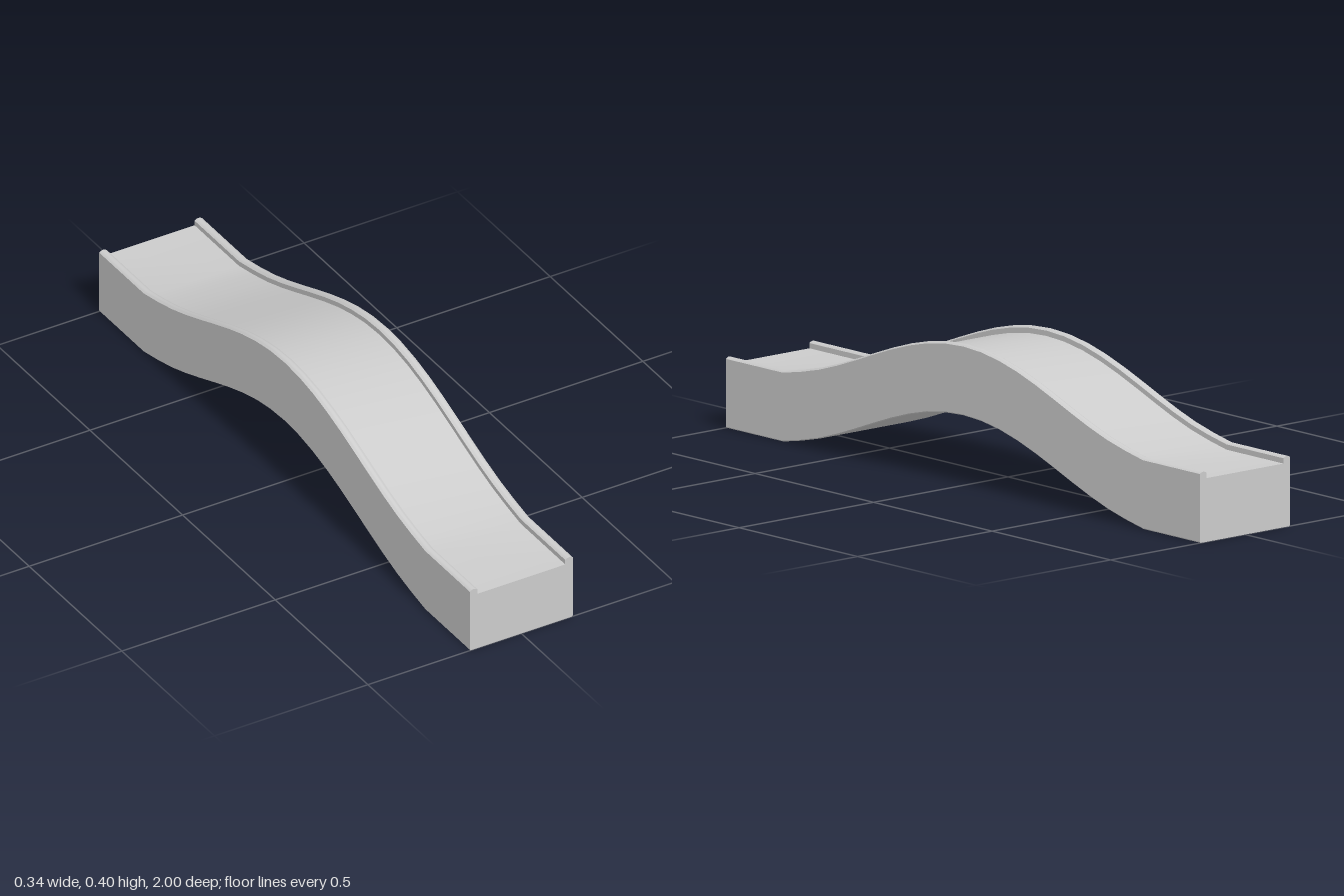
import * as THREE from 'three';
import { toCreasedNormals } from 'three/addons/utils/BufferGeometryUtils.js';

const HALF_WIDTH = 0.168, KERB_INNER = 0.143, FLOOR = 0.182;
const KERB_EDGE = 0.197, KERB_TOP = 0.202, BEVEL = 0.003;
const RISE = 0.2, RAMP_END = 0.76, ARCH_STEPS = 20;

// Height of the hump along the length, flat at both ends
function hump(z) {
  const d = Math.abs(z);
  return d > RAMP_END - 0.001 ? 0 : RISE * (1 + Math.cos(Math.PI * d / 0.83)) / 2;
}

// Constant cross-section: solid slab with a low round-topped kerb on each side
function crossSection() {
  const s = new THREE.Shape();
  const mid = (HALF_WIDTH + KERB_INNER) / 2;
  const crown = 2 * KERB_TOP - KERB_EDGE; // control height of the curved kerb top
  s.moveTo(-HALF_WIDTH + BEVEL, 0);
  s.lineTo(HALF_WIDTH - BEVEL, 0);
  s.lineTo(HALF_WIDTH, BEVEL);
  s.lineTo(HALF_WIDTH, KERB_EDGE);
  s.quadraticCurveTo(mid, crown, KERB_INNER, KERB_EDGE);
  s.lineTo(KERB_INNER, FLOOR);
  s.lineTo(-KERB_INNER, FLOOR);
  s.lineTo(-KERB_INNER, KERB_EDGE);
  s.quadraticCurveTo(-mid, crown, -HALF_WIDTH, KERB_EDGE);
  s.lineTo(-HALF_WIDTH, BEVEL);
  s.closePath();
  return s;
}

export function createModel() {
  const group = new THREE.Group();
  group.name = 'archedBridge';

  const steps = ARCH_STEPS + 2;
  const geo = new THREE.ExtrudeGeometry(crossSection(), {
    depth: steps, steps, bevelEnabled: false, curveSegments: 8,
  });

  // Place each slice along the length and lift it onto the hump
  const pos = geo.attributes.position;
  for (let i = 0; i < pos.count; i++) {
    const slice = Math.round(pos.getZ(i)) - steps / 2;
    const z = Math.abs(slice) === steps / 2
      ? Math.sign(slice)
      : slice * RAMP_END / (ARCH_STEPS / 2);
    pos.setZ(i, z);
    pos.setY(i, pos.getY(i) + hump(z));
  }

  const bridge = new THREE.Mesh(
    toCreasedNormals(geo, Math.PI / 6),
    new THREE.MeshStandardMaterial({ color: 0xcccccc }),
  );
  bridge.name = 'bridgeDeckWithKerbs';
  group.add(bridge);
  return group;
}
